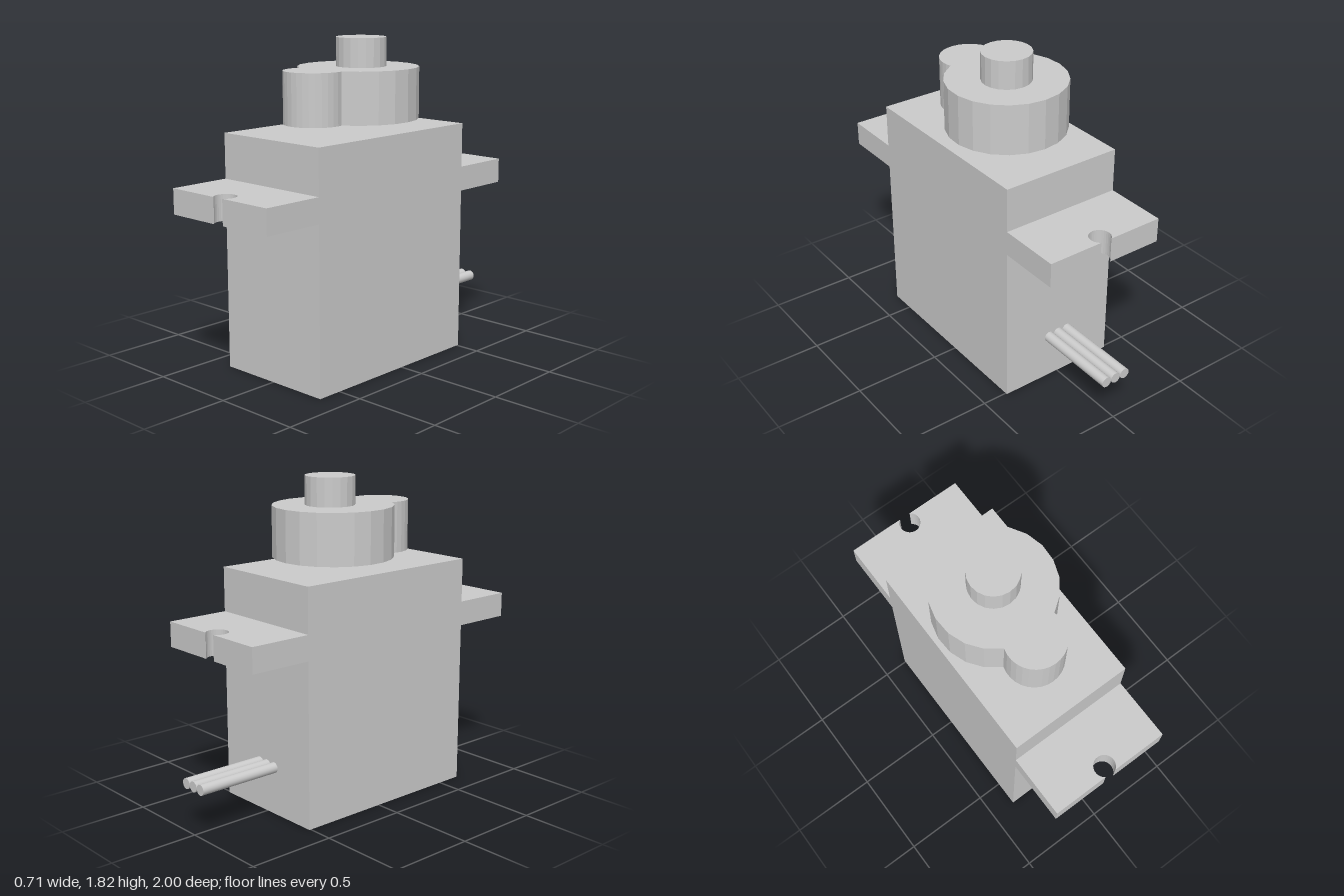
import * as THREE from 'three';

const material = new THREE.MeshStandardMaterial({ color: 0xcccccc });
const flat = new THREE.MeshStandardMaterial({ color: 0xcccccc, flatShading: true });

// Extrude a plan drawn in (x, z) between two heights
function extrudePlan(shape, bottom, top, curveSegments) {
  const geometry = new THREE.ExtrudeGeometry(shape, { depth: top - bottom, bevelEnabled: false, curveSegments });
  return geometry.rotateX(Math.PI / 2).translate(0, top, 0);
}

// Mounting tab with a round screw notch open at its outer end
function tabPlan(inner, outer) {
  const w = 0.355, r = 0.06, inset = 0.05;
  const a = Math.asin(inset / r);
  const s = new THREE.Shape();
  s.moveTo(-w, inner);
  s.lineTo(w, inner);
  s.lineTo(w, outer);
  s.lineTo(r * Math.cos(a), outer);
  s.absarc(0, outer - inset, r, a, Math.PI - a, true);
  s.lineTo(-w, outer);
  s.closePath();
  return s;
}

// Outline of a large and a small circle merged
function gearHousingPlan() {
  const R = 0.336, r = 0.165, z1 = -0.025, z2 = 0.322, d = z2 - z1;
  const along = (d * d + R * R - r * r) / (2 * d);
  const half = Math.sqrt(R * R - along * along);
  const a = Math.atan2(along, half);
  const b = Math.atan2(along - d, half);
  const s = new THREE.Shape();
  s.absarc(0, z1, R, a, Math.PI - a, true);
  s.absarc(0, z2, r, Math.PI - b, b, true);
  return s;
}

export function createModel() {
  const group = new THREE.Group();
  const add = (name, geometry, mat = material) => {
    const mesh = new THREE.Mesh(geometry, mat);
    mesh.name = name;
    group.add(mesh);
    return mesh;
  };

  // Case
  add('body', new THREE.BoxGeometry(0.71, 1.32, 1.155).translate(0, 0.66, 0.0675));

  // Mounting tabs
  add('frontTab', extrudePlan(tabPlan(0.645, 1), 0.93, 1.07, 12));
  add('backTab', extrudePlan(tabPlan(0.51, 0.87), 0.93, 1.07, 12)).rotation.y = Math.PI;

  // Gear housing floating just above the case, and output shaft
  add('gearHousing', extrudePlan(gearHousingPlan(), 1.37, 1.655, 9), flat);
  add('outputShaft', new THREE.CylinderGeometry(0.139, 0.139, 0.16, 20).translate(0.01, 1.735, -0.038), flat);

  // Three cable wires
  for (const [i, x] of [-0.062, 0, 0.062].entries()) {
    const wire = new THREE.CylinderGeometry(0.03, 0.03, 0.49, 20).rotateX(Math.PI / 2);
    add('wire' + (i + 1), wire.translate(x, 0.27, -0.755));
  }
  return group;
}
